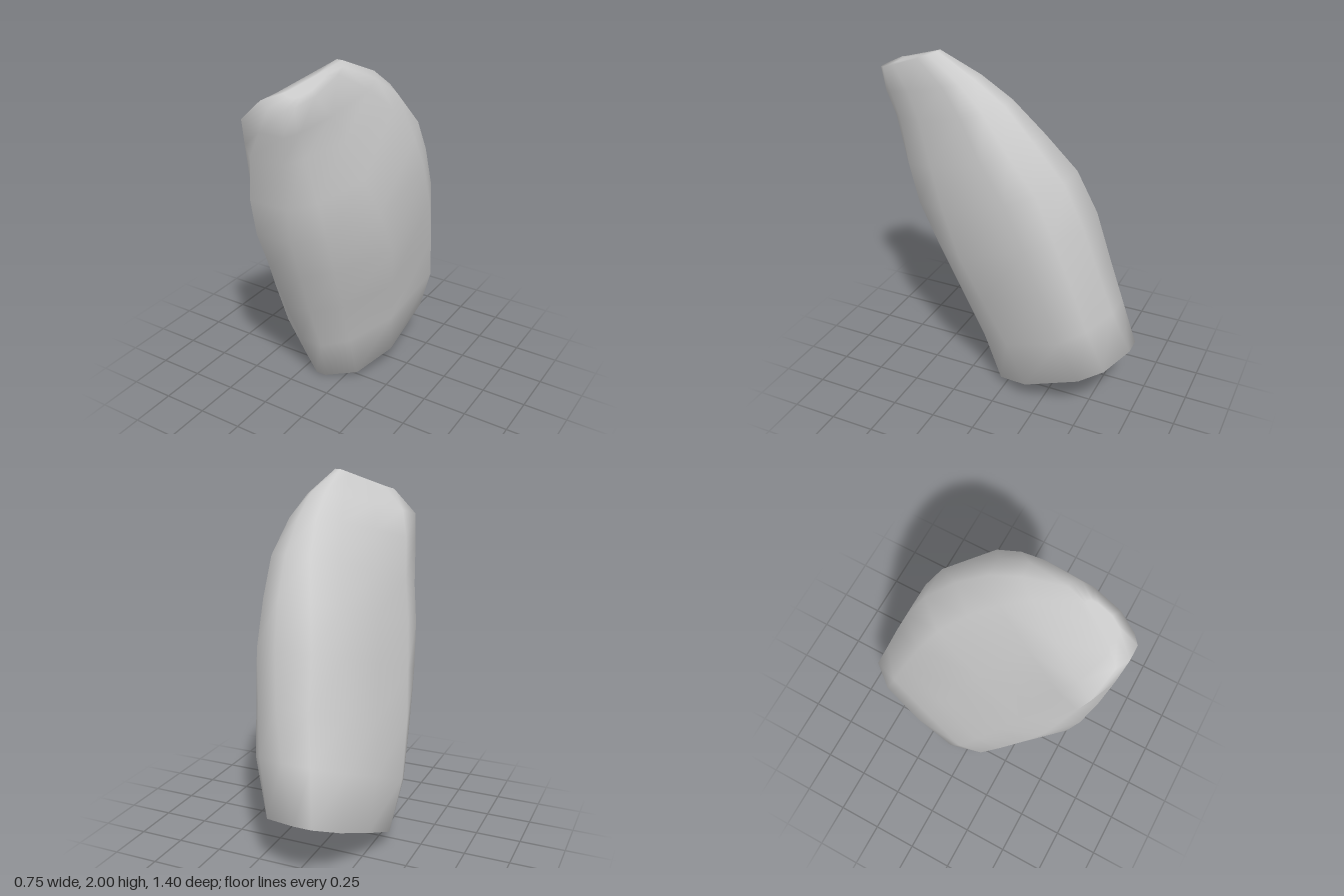
import * as THREE from 'three';

// Positions of the outline points, from the front edge (0) to the back edge (1)
const LEFT_STATIONS = [0, 0.1, 0.25, 0.55, 0.85, 1];
const RIGHT_STATIONS = [0, 0.1, 0.35, 0.75, 0.9, 1];

// Tilted cross-sections, bottom to top: front edge [z, y], back edge [z, y],
// then x of the two side outlines (l at -x, r at +x) at each station
const SECTIONS = [
  { f: [0.11, 0.0], b: [-0.7, 0.36], l: [-0.16, -0.29, -0.345, -0.32, -0.26, -0.16], r: [-0.1, 0.07, 0.18, 0.2, 0.13, -0.06] },
  { f: [0.21, 0.28], b: [-0.62, 0.65], l: [-0.19, -0.345, -0.38, -0.325, -0.265, -0.12], r: [-0.06, 0.08, 0.23, 0.3, 0.21, 0.04] },
  { f: [0.34, 0.58], b: [-0.55, 0.91], l: [-0.2, -0.33, -0.36, -0.29, -0.225, -0.08], r: [-0.04, 0.11, 0.29, 0.335, 0.25, 0.1] },
  { f: [0.46, 0.86], b: [-0.47, 1.18], l: [-0.2, -0.31, -0.32, -0.25, -0.185, -0.06], r: [-0.01, 0.14, 0.345, 0.36, 0.295, 0.14] },
  { f: [0.56, 1.11], b: [-0.37, 1.42], l: [-0.2, -0.28, -0.28, -0.21, -0.125, -0.01], r: [0.01, 0.16, 0.325, 0.37, 0.305, 0.17] },
  { f: [0.61, 1.32], b: [-0.22, 1.62], l: [-0.19, -0.245, -0.235, -0.16, -0.05, 0.06], r: [0.03, 0.15, 0.28, 0.375, 0.325, 0.2] },
  { f: [0.655, 1.57], b: [-0.06, 1.79], l: [-0.14, -0.225, -0.205, -0.11, 0.0, 0.1], r: [0.04, 0.12, 0.23, 0.32, 0.29, 0.2] },
  { f: [0.683, 1.72], b: [0.1, 1.9], l: [-0.06, -0.205, -0.16, -0.06, 0.05, 0.12], r: [0.08, 0.13, 0.2, 0.26, 0.25, 0.2] },
  { f: [0.7, 1.85], b: [0.32, 2.0], l: [0.01, -0.06, -0.02, 0.04, 0.1, 0.13], r: [0.09, 0.13, 0.18, 0.2, 0.19, 0.16] },
];

// Closed ring: along the -x side from front to back, then back along the +x side
function ring({ f, b, l, r }) {
  const outline = (xs, stations) => xs.map((x, i) => new THREE.Vector3(
    x,
    THREE.MathUtils.lerp(f[1], b[1], stations[i]),
    THREE.MathUtils.lerp(f[0], b[0], stations[i]),
  ));
  return [...outline(l, LEFT_STATIONS), ...outline(r, RIGHT_STATIONS).reverse()];
}

function centre(points) {
  return points.reduce((sum, p) => sum.add(p), new THREE.Vector3()).divideScalar(points.length);
}

function shrink(points, k) {
  const c = centre(points);
  return points.map((p) => p.clone().lerp(c, 1 - k));
}

// Skin the rings and close both ends; shared vertices give soft edges
function loft(rings) {
  const n = rings[0].length;
  const points = rings.flat();
  const index = [];
  const bottom = points.length;
  const top = bottom + 1;
  const lastRing = (rings.length - 1) * n;
  for (let i = 0; i < n; i++) {
    const j = (i + 1) % n;
    for (let k = 0; k < lastRing; k += n) {
      index.push(k + i, k + n + i, k + j, k + j, k + n + i, k + n + j);
    }
    index.push(bottom, i, j, top, lastRing + j, lastRing + i);
  }
  points.push(centre(rings[0]), centre(rings[rings.length - 1]));
  const geometry = new THREE.BufferGeometry().setFromPoints(points);
  geometry.setIndex(index);
  geometry.computeVertexNormals();
  return geometry;
}

export function createModel() {
  const model = new THREE.Group();
  model.name = 'standingStone';

  // Leaning boulder with a slanted flat base and a small sloping crown
  const rings = SECTIONS.map(ring);
  rings.unshift(shrink(rings[0], 0.6));
  rings.push(shrink(rings[rings.length - 1], 0.5));

  const stone = new THREE.Mesh(loft(rings), new THREE.MeshStandardMaterial({ color: 0xcccccc }));
  stone.name = 'stone';
  model.add(stone);
  return model;
}
